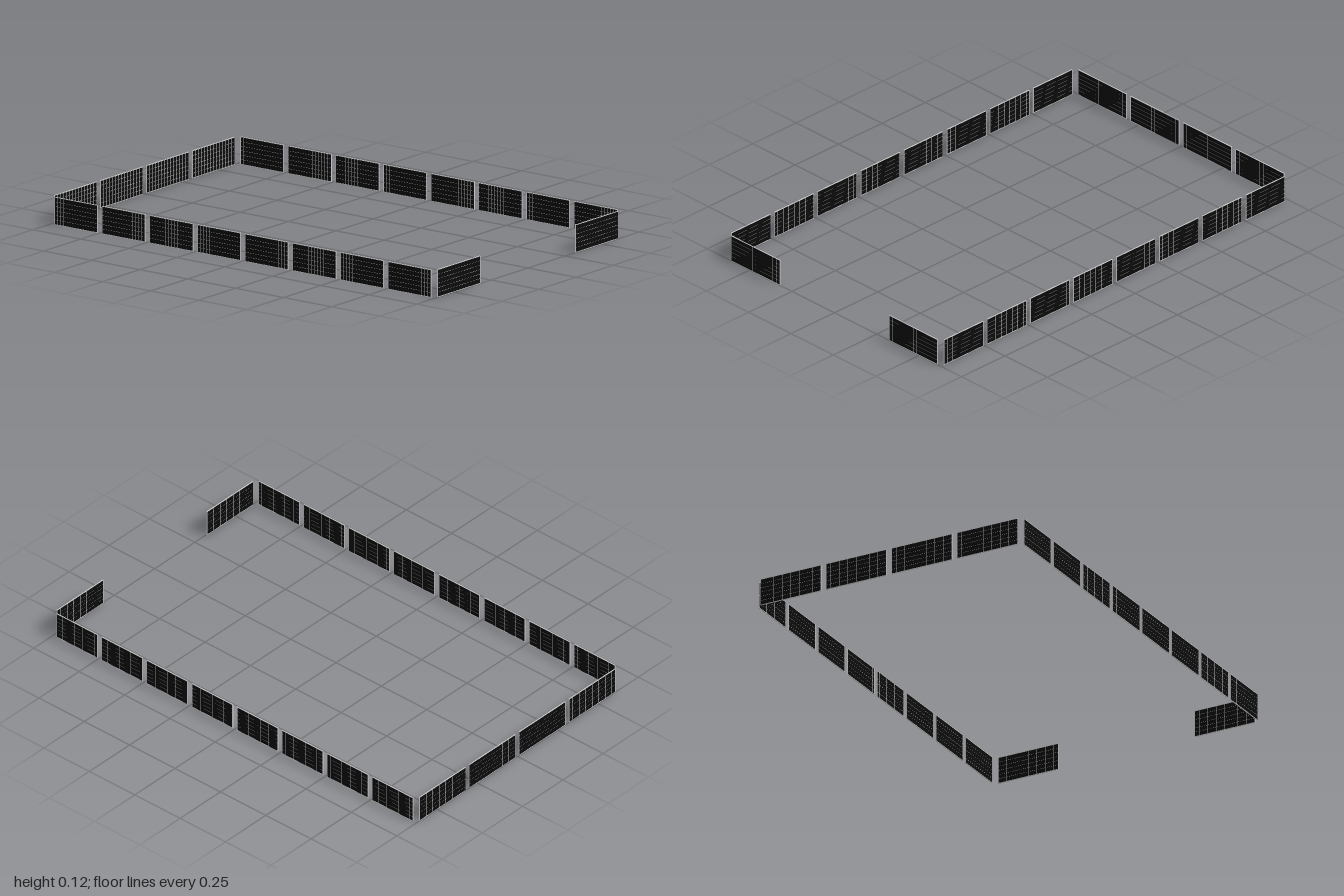
import * as THREE from 'three';
import { mergeGeometries } from 'three/addons/utils/BufferGeometryUtils.js';

const HEIGHT = 0.118, COLS = 14, ROWS = 6, GAP = 0.0012, RIM = 0.002;
const grey = new THREE.MeshStandardMaterial({ color: 0xcccccc });
const black = new THREE.MeshStandardMaterial({ color: 0x0b0b0b });

function box(w, h, d, x, y) {
  return new THREE.BoxGeometry(w, h, d).translate(x, y, 0);
}

// Dark tiles in a regular grid, visible on both faces of the panel
function tileGrid(width) {
  const cw = (width - 2 * RIM) / COLS, ch = (HEIGHT - 2 * RIM) / ROWS;
  const tiles = [];
  for (let i = 0; i < COLS; i++) {
    for (let j = 0; j < ROWS; j++) {
      tiles.push(box(cw - GAP, ch - GAP, 0.0036,
        (i + 0.5 - COLS / 2) * cw, RIM + (j + 0.5) * ch));
    }
  }
  return mergeGeometries(tiles);
}

// Thin backing sheet with the rim around it
function frameGeometry(width) {
  const side = (width - RIM) / 2;
  return mergeGeometries([
    box(width - RIM, HEIGHT - RIM, 0.0026, 0, HEIGHT / 2),
    box(width, RIM, 0.004, 0, RIM / 2),
    box(width, RIM, 0.004, 0, HEIGHT - RIM / 2),
    box(RIM, HEIGHT - 2 * RIM, 0.004, -side, HEIGHT / 2),
    box(RIM, HEIGHT - 2 * RIM, 0.004, side, HEIGHT / 2),
  ]);
}

function panelMaker(width) {
  const frame = frameGeometry(width), tiles = tileGrid(width);
  return (name, x, z, turn) => {
    const panel = new THREE.Group();
    panel.name = name;
    const frameMesh = new THREE.Mesh(frame, grey);
    frameMesh.name = 'frame';
    const tileMesh = new THREE.Mesh(tiles, black);
    tileMesh.name = 'tiles';
    panel.add(frameMesh, tileMesh);
    panel.position.set(x, 0, z);
    panel.rotation.y = turn;
    return panel;
  };
}

export function createModel() {
  const fence = new THREE.Group();
  fence.name = 'panelFence';
  const endPanel = panelMaker(0.287), sidePanel = panelMaker(0.225);

  // Back row of four; the front row leaves the middle open
  for (let i = 0; i < 4; i++) {
    const x = (i - 1.5) * 0.31;
    fence.add(endPanel('backPanel', x, -0.998, 0));
    if (i === 0 || i === 3) fence.add(endPanel('frontPanel', x, 0.998, 0));
  }

  // Two long sides of eight
  for (const s of [-1, 1]) {
    for (let i = 0; i < 8; i++) {
      fence.add(sidePanel(s > 0 ? 'leftPanel' : 'rightPanel',
        s * 0.627, (i - 3.5) * 0.2483, s * Math.PI / 2));
    }
  }
  return fence;
}
